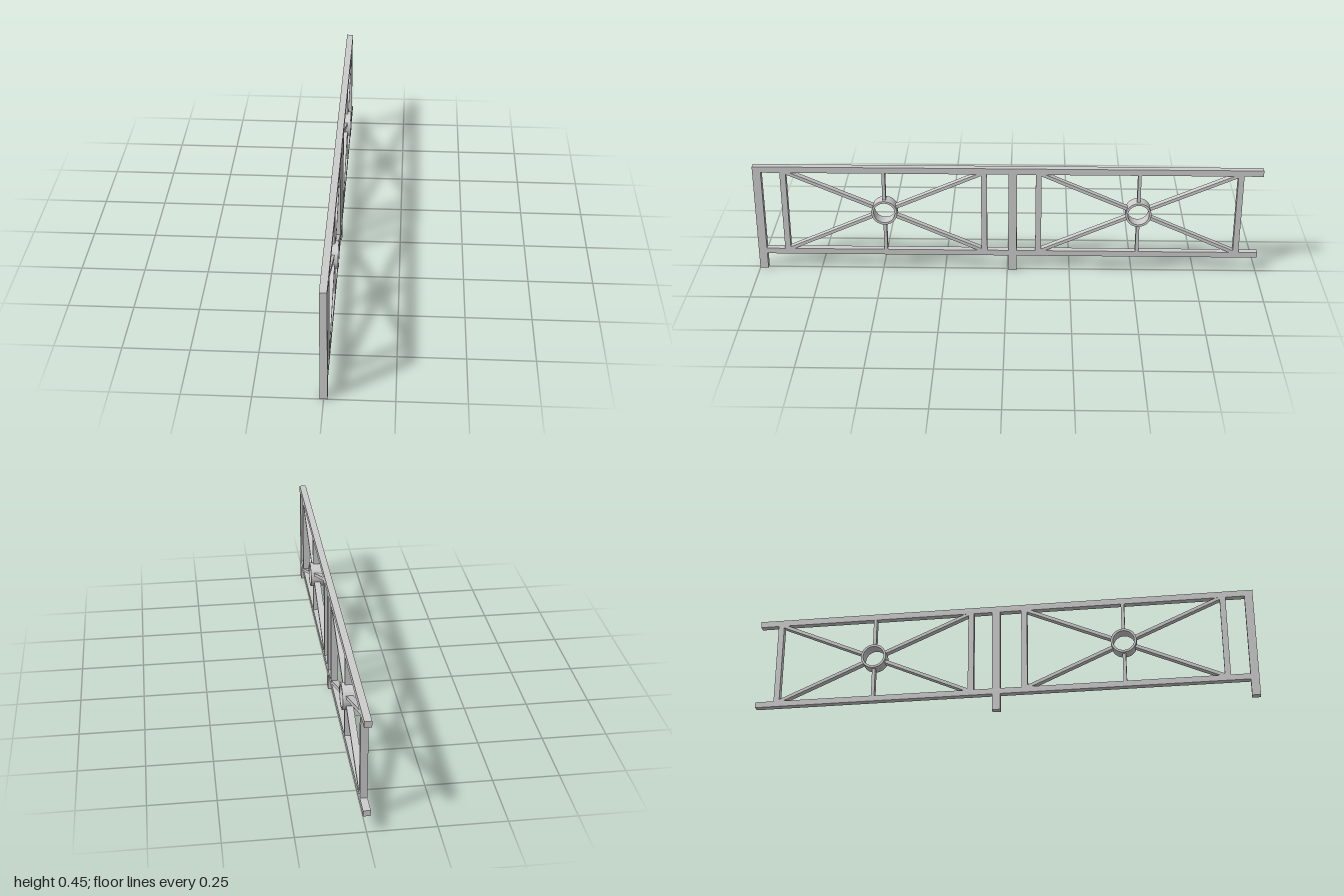
import * as THREE from 'three';

const DEPTH = 0.027;                        // thickness of the flat bars along x
const RAIL = { bottom: [0.067, 0.09], top: [0.425, 0.45] };
const HUB_Y = 0.2585, HUB_OUTER = 0.051, HUB_INNER = 0.042, HUB_DEPTH = 0.052;

const material = new THREE.MeshStandardMaterial({ color: 0xcccccc, flatShading: true });

// Axis-aligned bar between two heights and two z positions
function bar(name, y0, y1, z0, z1) {
  const mesh = new THREE.Mesh(new THREE.BoxGeometry(DEPTH, y1 - y0, Math.abs(z1 - z0)), material);
  mesh.name = name;
  mesh.position.set(0, (y0 + y1) / 2, (z0 + z1) / 2);
  return mesh;
}

// Thin spoke running outward from the hub to an offset (dz, dy)
function spoke(name, dz, dy, extra) {
  const start = HUB_OUTER - 0.004, end = Math.hypot(dz, dy) + extra;
  const mesh = new THREE.Mesh(new THREE.BoxGeometry(DEPTH - 0.001, 0.013, end - start), material);
  const angle = Math.atan2(dy, dz), mid = (start + end) / 2;
  mesh.name = name;
  mesh.rotation.x = -angle;
  mesh.position.set(0, mid * Math.sin(angle), mid * Math.cos(angle));
  return mesh;
}

// Open ring with its axis along x
function hubRing() {
  const r = HUB_OUTER, i = HUB_INNER, h = HUB_DEPTH / 2;
  const profile = [[i, -h], [r, -h], [r, h], [i, h], [i, -h]].map(p => new THREE.Vector2(...p));
  const geometry = new THREE.LatheGeometry(profile, 32);
  geometry.rotateZ(-Math.PI / 2);
  const mesh = new THREE.Mesh(geometry, material);
  mesh.name = 'hubRing';
  return mesh;
}

// One fence bay: post, two uprights, and a hub with six spokes
function bay(frontZ) {
  const group = new THREE.Group();
  group.name = 'fenceBay';
  const [, low] = RAIL.bottom, [high] = RAIL.top;
  group.add(bar('post', 0, high, frontZ - 0.033, frontZ));
  group.add(bar('frontUpright', low, high, frontZ - 0.13, frontZ - 0.107));
  group.add(bar('backUpright', low, high, frontZ - 0.92, frontZ - 0.897));

  const wheel = new THREE.Group();
  wheel.name = 'spokedHub';
  wheel.position.set(0, HUB_Y, frontZ - 0.5135);
  wheel.add(hubRing());
  for (const dy of [low - HUB_Y, high - HUB_Y]) {
    wheel.add(spoke('verticalSpoke', 0, dy, 0));
    for (const side of [-1, 1]) wheel.add(spoke('diagonalSpoke', side * 0.3835, dy, 0.008));
  }
  group.add(wheel);
  return group;
}

export function createModel() {
  const model = new THREE.Group();
  model.name = 'railing';
  model.add(bar('topRail', ...RAIL.top, -1, 1));
  model.add(bar('bottomRail', ...RAIL.bottom, -1, 1));
  for (const z of [1, -0.005]) model.add(bay(z));
  return model;
}
